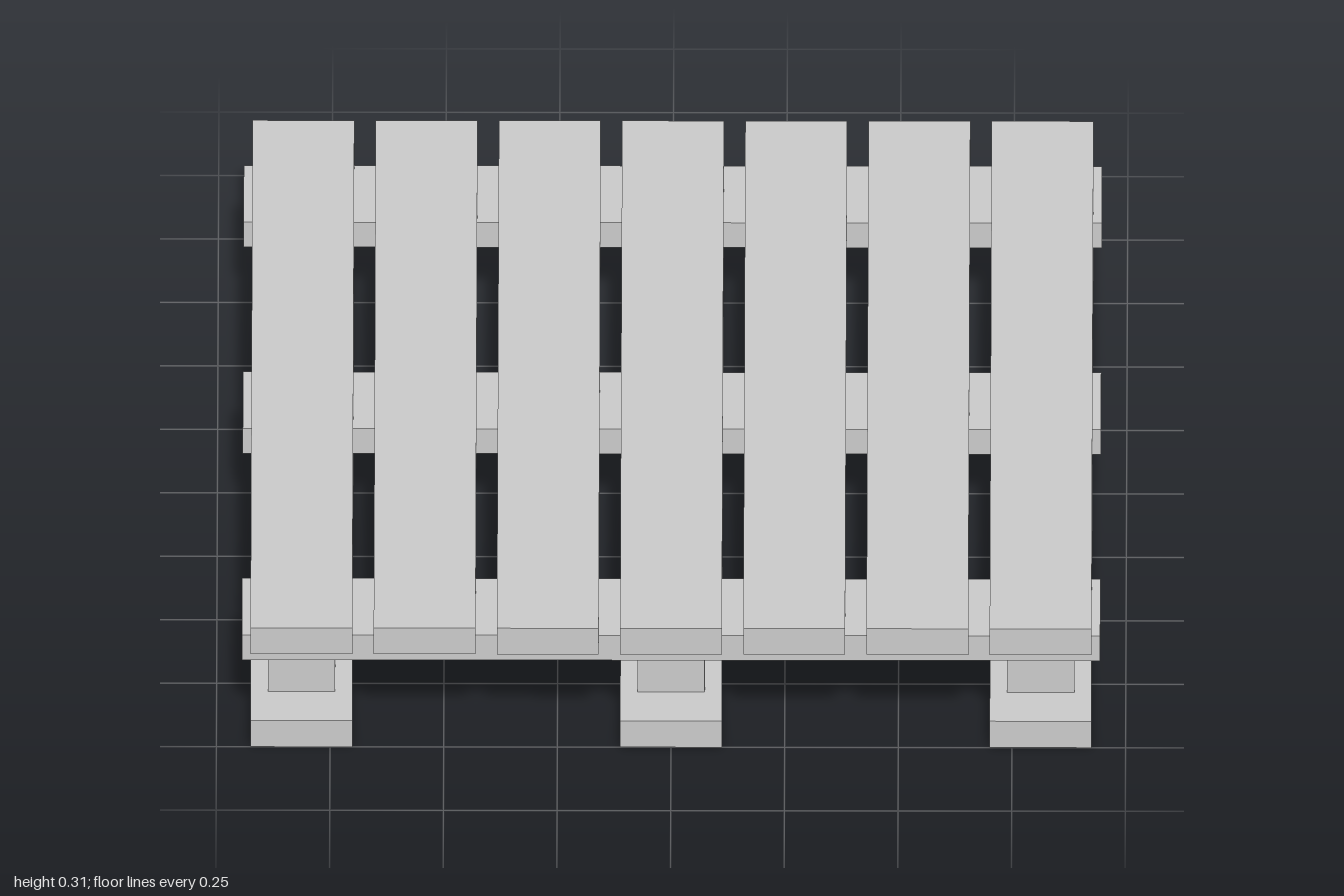
import * as THREE from 'three';

export function createModel() {
  const pallet = new THREE.Group();
  pallet.name = 'pallet';
  const material = new THREE.MeshStandardMaterial({ color: 0xcccccc, flatShading: true });

  const SPAN = 0.813;      // centre of the outer boards
  const BOARD = 0.224;     // board width
  const BLOCK = 0.148;     // spacer block width
  const Y = { skidTop: 0.07, blockTop: 0.18, barTop: 0.246, deckTop: 0.315 };
  const rows = [-SPAN, 0, SPAN];

  // Box standing between two heights
  function addBoard(name, width, depth, bottom, top, x, z) {
    const mesh = new THREE.Mesh(new THREE.BoxGeometry(width, top - bottom, depth), material);
    mesh.position.set(x, (bottom + top) / 2, z);
    mesh.name = name;
    pallet.add(mesh);
  }

  // Skids on the ground, each carrying three spacer blocks
  for (const x of rows) {
    addBoard('skid', BOARD, 2, 0, Y.skidTop, x, 0);
    for (const z of rows) addBoard('spacerBlock', BLOCK, BLOCK, Y.skidTop, Y.blockTop, x, z);
  }

  // Crossbars joining the blocks
  for (const z of rows) addBoard('crossbar', 1.888, BOARD, Y.blockTop, Y.barTop, 0, z);

  // Seven deck slats
  for (let i = -3; i <= 3; i++) {
    addBoard('deckSlat', BOARD, 2, Y.barTop, Y.deckTop, i * SPAN / 3, 0);
  }

  return pallet;
}
